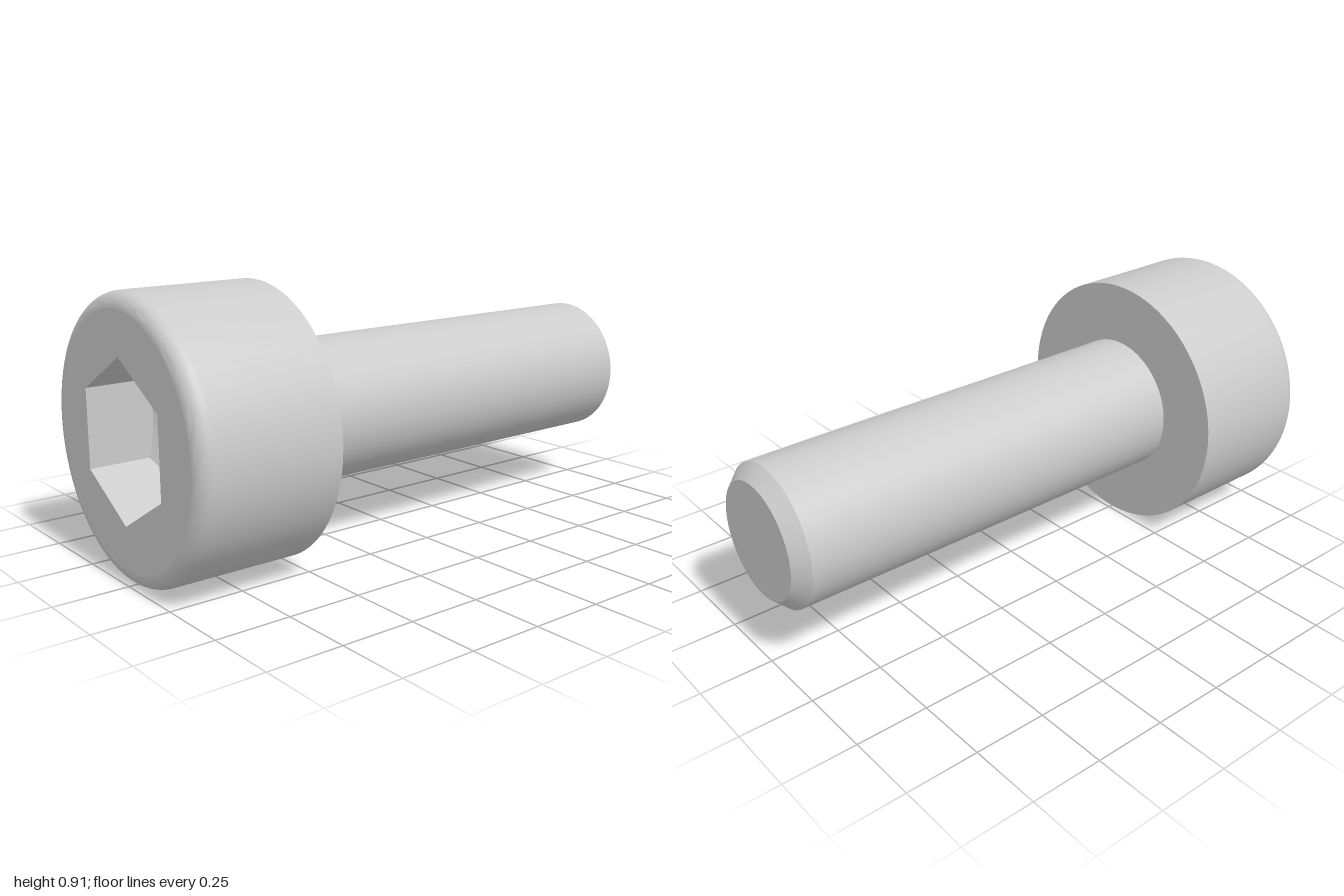
import * as THREE from 'three';
import { toCreasedNormals } from 'three/addons/utils/BufferGeometryUtils.js';

const HEAD_R = 0.455, HEAD_X = -0.517, FILLET = 0.05;
const SHANK_R = 0.242, TIP_R = 0.197, TIP_X = 0.953;
const HEX_R = 0.262, HEX_DEPTH = 0.208;
const CREASE = 0.5;

const material = new THREE.MeshStandardMaterial({ color: 0xcccccc });

function part(name, geometry) {
  const mesh = new THREE.Mesh(toCreasedNormals(geometry, CREASE), material);
  mesh.name = name;
  return mesh;
}

// Solid of revolution about x from [x, radius] pairs
function turned(profile) {
  const points = profile.map(([x, r]) => new THREE.Vector2(r, x));
  return new THREE.LatheGeometry(points, 96).rotateZ(-Math.PI / 2);
}

// Corner k of the hexagonal socket, as (y, z)
function corner(k) {
  const a = (k * Math.PI) / 3;
  return new THREE.Vector2(HEX_R * Math.cos(a), HEX_R * Math.sin(a));
}

// Flat end of the head, pierced by the hexagon
function headFace() {
  const shape = new THREE.Shape().absarc(0, 0, HEAD_R - FILLET, 0, Math.PI * 2);
  const hex = [0, 1, 2, 3, 4, 5].map((k) => {
    const c = corner(k);
    return new THREE.Vector2(c.y, c.x);
  });
  shape.holes.push(new THREE.Path(hex));
  return new THREE.ShapeGeometry(shape, 96).rotateY(-Math.PI / 2).translate(-1, 0, 0);
}

// Six flat walls ending in a shallow drilled cone
function socket() {
  const steps = 12, positions = [];
  const slope = Math.tan(Math.PI / 6);
  const coneX = (r) => -1 + HEX_DEPTH + (HEX_R - r) * slope;
  const apex = [coneX(0), 0, 0];
  for (let k = 0; k < 6; k++) {
    for (let i = 0; i < steps; i++) {
      const p = corner(k).lerp(corner(k + 1), i / steps);
      const q = corner(k).lerp(corner(k + 1), (i + 1) / steps);
      const a = [-1, p.x, p.y], b = [-1, q.x, q.y];
      const c = [coneX(p.length()), p.x, p.y], d = [coneX(q.length()), q.x, q.y];
      positions.push(...a, ...c, ...b, ...b, ...c, ...d, ...c, ...apex, ...d);
    }
  }
  const geometry = new THREE.BufferGeometry();
  geometry.setAttribute('position', new THREE.Float32BufferAttribute(positions, 3));
  return geometry;
}

export function createModel() {
  const bolt = new THREE.Group();
  bolt.name = 'socketHeadBolt';

  // Head side with rounded outer edge, and the bearing face under it
  const headProfile = [];
  for (let i = 0; i <= 8; i++) {
    const a = (i / 8) * Math.PI / 2;
    headProfile.push([-1 + FILLET * (1 - Math.sin(a)), HEAD_R - FILLET * (1 - Math.cos(a))]);
  }
  headProfile.reverse();
  headProfile.sort((m, n) => m[0] - n[0]);
  headProfile.push([HEAD_X, HEAD_R], [HEAD_X, SHANK_R]);

  bolt.add(
    part('head', turned(headProfile)),
    part('headFace', headFace()),
    part('hexSocket', socket()),
    // Plain shank with chamfered tip
    part('shank', turned([[HEAD_X, SHANK_R], [TIP_X, SHANK_R], [1, TIP_R], [1, 0]]))
  );
  bolt.position.y = HEAD_R;
  return bolt;
}
